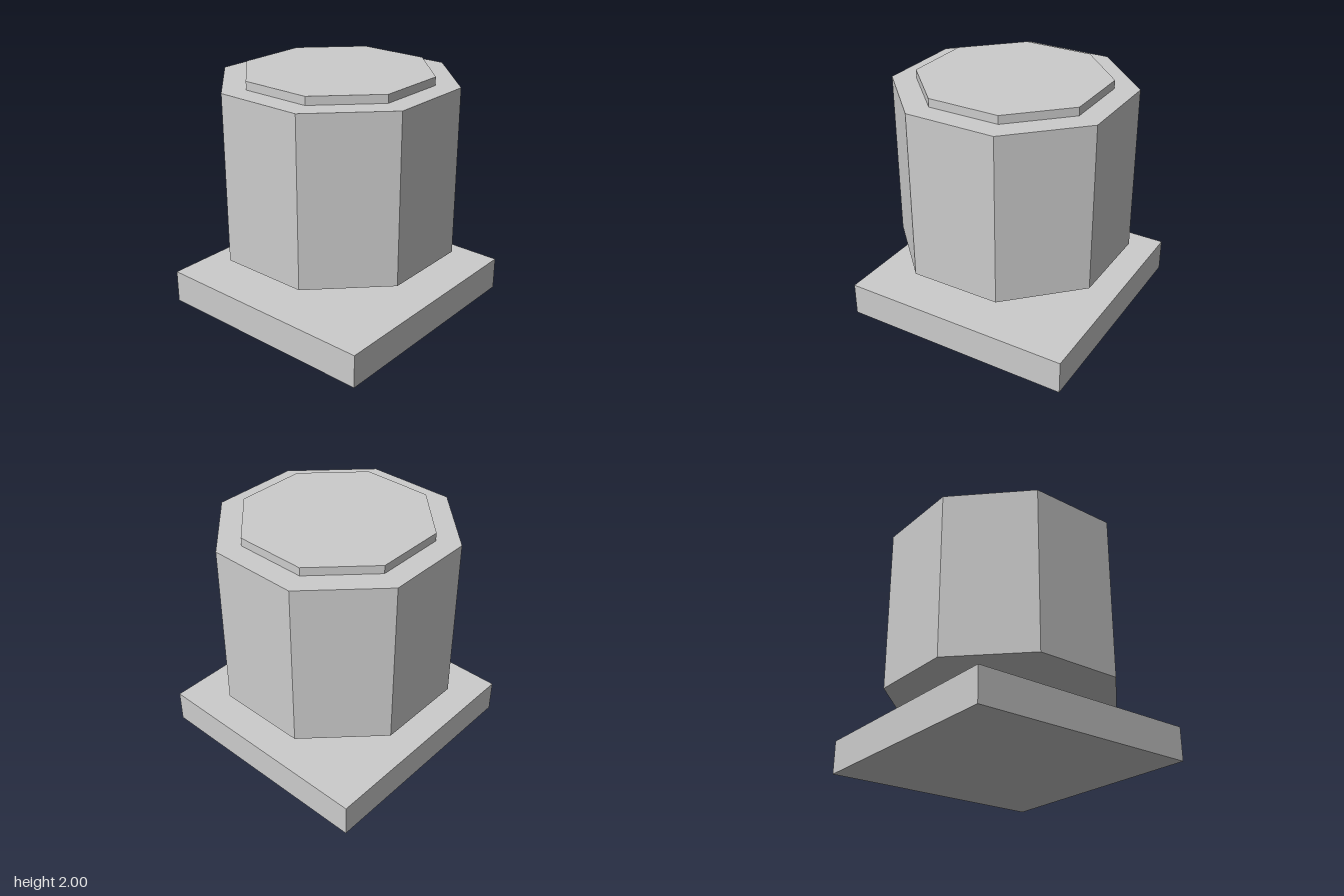
import * as THREE from 'three';

export function createModel() {
  const model = new THREE.Group();
  const lightGrey = new THREE.MeshStandardMaterial({ color: 0xcccccc });
  lightGrey.name = 'lightGrey';
  lightGrey.flatShading = true;

  // Upright prism with flat sides facing the axes, from height y0 to y1
  function prism(name, sides, apothem, y0, y1) {
    const radius = apothem / Math.cos(Math.PI / sides);
    const geometry = new THREE.CylinderGeometry(radius, radius, y1 - y0, sides);
    geometry.rotateY(Math.PI / sides);
    const mesh = new THREE.Mesh(geometry, lightGrey);
    mesh.name = name;
    mesh.position.y = (y0 + y1) / 2;
    model.add(mesh);
  }

  prism('basePlate', 4, 0.965, 0, 0.275); // square foot
  prism('stem', 4, 0.273, 0.275, 0.557); // square neck
  prism('body', 8, 0.893, 0.557, 1.933); // octagonal drum
  prism('topCap', 8, 0.712, 1.933, 2); // raised octagonal lid

  return model;
}
